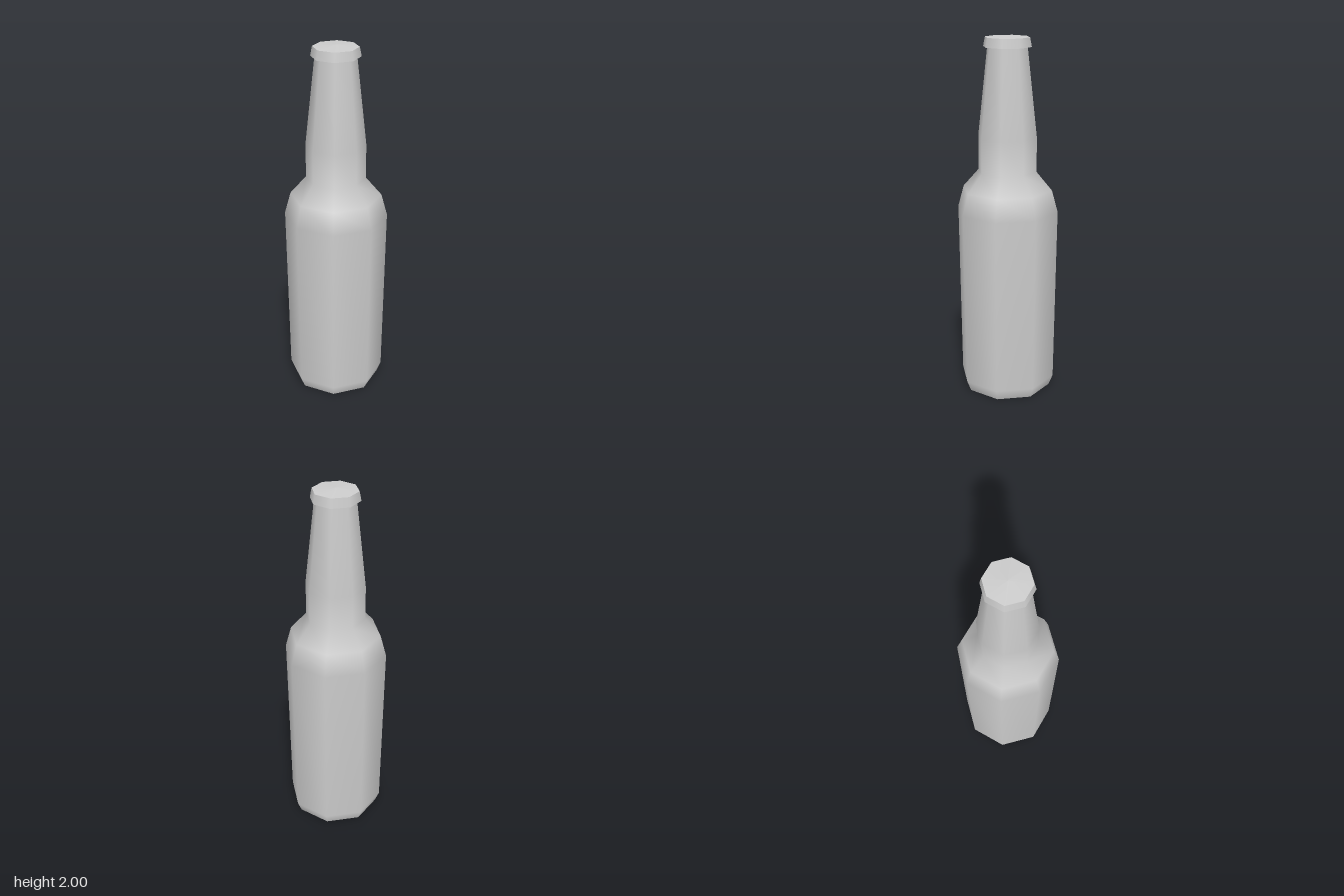
import * as THREE from 'three';

const SIDES = 8;

// Revolves a profile of [radius, height] points, listed from bottom to top
function turned(name, profile, material) {
  const points = profile.map(([r, y]) => new THREE.Vector2(r, y));
  const mesh = new THREE.Mesh(new THREE.LatheGeometry(points, SIDES), material);
  mesh.name = name;
  return mesh;
}

export function createModel() {
  const model = new THREE.Group();
  model.name = 'bottle';
  const grey = new THREE.MeshStandardMaterial({ color: 0xcccccc });

  // Underside, a separate surface so the rim stays sharp
  model.add(turned('base', [[0, 0], [0.246, 0]], grey));

  // Body, shoulder and tapering neck in one smooth skin
  model.add(turned('body', [
    [0.246, 0], [0.27, 0.06], [0.283, 1.05], [0.25, 1.17],
    [0.163, 1.27], [0.163, 1.46], [0.11, 1.94],
  ], grey));

  // Cap: underside, skirt and slightly domed top with sharp edges between
  const cap = new THREE.Group();
  cap.name = 'cap';
  cap.add(
    turned('capUnderside', [[0.11, 1.94], [0.132, 1.94]], grey),
    turned('capSkirt', [[0.132, 1.94], [0.122, 1.99]], grey),
    turned('capTop', [[0.122, 1.99], [0, 2]], grey),
  );
  model.add(cap);

  return model;
}
